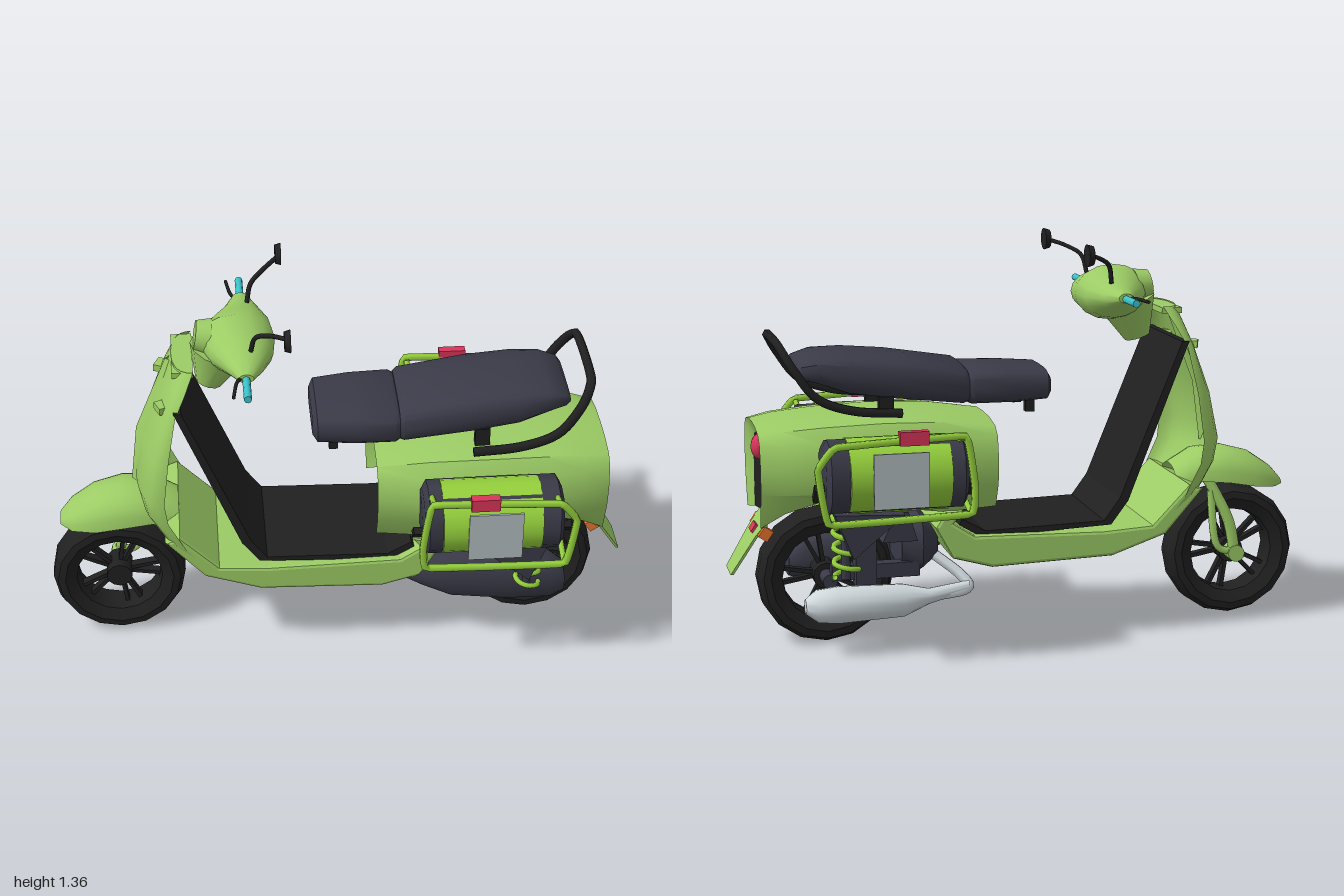
import * as THREE from 'three';
import { toCreasedNormals } from 'three/addons/utils/BufferGeometryUtils.js';

const mat = (name, color) => {
  const m = new THREE.MeshStandardMaterial({ color, side: THREE.DoubleSide });
  m.name = name;
  return m;
};
const V = (x, y, z) => new THREE.Vector3(x, y, z);

export function createModel() {
  const root = new THREE.Group();
  root.name = 'scooter';
  const green = mat('bodyGreen', 0x9ccc65), lime = mat('limeGreen', 0x94cf3c);
  const black = mat('black', 0x202020), dark = mat('slate', 0x3a3a48);
  const cyan = mat('gripCyan', 0x3cc4cc), red = mat('lampRed', 0xd8345a);
  const silver = mat('exhaustSilver', 0xcfd8dc), grey = mat('plateGrey', 0xb0bcbf);
  const orange = mat('signalOrange', 0xe8732c);

  const add = (name, geo, m, pos = [0, 0, 0], rot = [0, 0, 0], parent = root) => {
    const mesh = new THREE.Mesh(geo, m);
    mesh.name = name;
    mesh.position.set(...pos);
    mesh.rotation.set(...rot);
    parent.add(mesh);
    return mesh;
  };
  const box = (x, y, z) => new THREE.BoxGeometry(x, y, z);
  const cyl = (r1, r2, h, n = 12) => new THREE.CylinderGeometry(r1, r2, h, n);
  const tube = (pts, r, closed = false, tension = 0.5, n = 32) => new THREE.TubeGeometry(
    new THREE.CatmullRomCurve3(pts.map(p => V(...p)), closed, 'catmullrom', tension), n, r, 6, closed);

  // Skin a surface through rows of points; closed rows also get end caps
  function loft(rows, closed = false, crease = 0.7) {
    const n = rows[0].length, pos = [], idx = [];
    rows.forEach(r => r.forEach(p => pos.push(p.x, p.y, p.z)));
    for (let i = 0; i < rows.length - 1; i++)
      for (let j = 0; j < (closed ? n : n - 1); j++) {
        const a = i * n + j, b = i * n + (j + 1) % n;
        idx.push(a, b, a + n, b, b + n, a + n);
      }
    if (closed) for (let j = 1; j < n - 1; j++) {
      const e = (rows.length - 1) * n;
      idx.push(0, j + 1, j, e, e + j, e + j + 1);
    }
    const g = new THREE.BufferGeometry();
    g.setAttribute('position', new THREE.Float32BufferAttribute(pos, 3));
    g.setIndex(idx);
    return toCreasedNormals(g, crease);
  }
  // Sections along x: [x, centre y, half height, half depth, centre z]
  const pod = (sections, power = 1, n = 16) => loft(sections.map(([x, y, h, d, z = 0]) =>
    Array.from({ length: n }, (_, i) => {
      const a = i / n * Math.PI * 2, c = Math.cos(a), s = Math.sin(a);
      return V(x, y + h * Math.sign(s) * Math.abs(s) ** power, z + d * Math.sign(c) * Math.abs(c) ** power);
    })), true);
  const sideExtrude = (pts, width, bevel = 0) => {
    const shape = new THREE.Shape(pts.map(p => new THREE.Vector2(...p)));
    const g = new THREE.ExtrudeGeometry(shape, { depth: width - 2 * bevel, bevelEnabled: bevel > 0,
      bevelSize: bevel, bevelOffset: -bevel, bevelThickness: bevel, bevelSegments: 2 });
    return g.translate(0, 0, -width / 2 + bevel);
  };
  const bothSides = fn => [1, -1].forEach(fn);

  // Wheels
  for (const [name, x] of [['frontWheel', -0.77], ['rearWheel', 0.675]]) {
    const w = new THREE.Group();
    w.name = name;
    w.position.set(x, 0.232, 0);
    root.add(w);
    const prof = [[0.15, -0.05], [0.19, -0.07], [0.215, -0.066], [0.232, -0.03], [0.232, 0.03],
      [0.215, 0.066], [0.19, 0.07], [0.15, 0.05], [0.145, 0], [0.15, -0.05]].map(p => new THREE.Vector2(...p));
    add('tyre', toCreasedNormals(new THREE.LatheGeometry(prof, 16), 0.5), black, [0, 0, 0], [Math.PI / 2, 0, 0], w);
    add('hub', cyl(0.045, 0.045, 0.1), black, [0, 0, 0], [Math.PI / 2, 0, 0], w);
    for (let i = 0; i < 5; i++) for (const o of [-0.17, 0.17]) {
      const a = i / 5 * Math.PI * 2 + o;
      add('spoke', box(0.125, 0.014, 0.03), black, [Math.cos(a) * 0.095, Math.sin(a) * 0.095, 0], [0, 0, a], w);
    }
  }

  // Front fender and single-sided fork
  add('frontFender', loft([[-0.96, 0.035, 0.48, 0.46], [-0.92, 0.08, 0.525, 0.46], [-0.84, 0.11, 0.58, 0.47],
    [-0.74, 0.12, 0.607, 0.49], [-0.64, 0.115, 0.6, 0.5], [-0.55, 0.1, 0.55, 0.45]].map(([x, w, t, b]) =>
    Array.from({ length: 13 }, (_, i) => {
      const a = i / 12 * Math.PI;
      return V(x, b + (t - b) * Math.sin(a) ** 0.8, w * Math.cos(a));
    }))), green);
  add('forkLeg', tube([[-0.77, 0.232, -0.09], [-0.74, 0.36, -0.09], [-0.66, 0.52, -0.07]], 0.02), green);
  add('forkLink', tube([[-0.77, 0.235, -0.09], [-0.7, 0.27, -0.09], [-0.68, 0.46, -0.08]], 0.014), green);
  add('frontAxle', cyl(0.03, 0.03, 0.06), green, [-0.77, 0.232, -0.08], [Math.PI / 2, 0, 0]);

  // Leg shield: rows of [y, front x, edge x, half width]
  add('legShield', loft([[1.12, -0.55, -0.48, 0.13], [1.06, -0.57, -0.51, 0.175], [0.99, -0.595, -0.545, 0.205],
    [0.83, -0.655, -0.575, 0.235], [0.67, -0.69, -0.595, 0.245], [0.59, -0.675, -0.585, 0.242],
    [0.475, -0.61, -0.53, 0.235], [0.35, -0.47, -0.44, 0.22]].map(([y, f, e, w]) =>
    Array.from({ length: 15 }, (_, i) => {
      const u = i / 7 - 1;
      return V(f + (e - f) * Math.abs(u) ** 2.2, y, w * Math.sin(u * Math.PI / 2));
    }))), green);
  add('shieldRidge', loft([[1.1, -0.56, 0.03], [0.83, -0.67, 0.05], [0.62, -0.695, 0.04]].map(([y, x, w]) =>
    [V(x + 0.02, y, -w), V(x - 0.01, y, 0), V(x + 0.02, y, w)])), green);
  add('shieldCap', box(0.07, 0.02, 0.24), green, [-0.515, 1.105, 0]);
  bothSides(s => add('shieldClip', box(0.03, 0.025, 0.05), green, [-0.59, 0.99, s * 0.13], [0, s * 0.4, 0]));

  // Footboard and its black lining
  add('footboard', sideExtrude([[-0.6, 0.5], [-0.47, 0.35], [-0.28, 0.285], [0.14, 0.272], [0.275, 0.31],
    [0.335, 0.42], [0.3, 0.475], [0.24, 0.47], [0.27, 0.43], [0.2, 0.385], [-0.25, 0.375], [-0.42, 0.385],
    [-0.55, 0.52]], 0.46, 0.012), green);
  add('legLining', sideExtrude([[-0.55, 1.01], [-0.34, 0.47], [-0.28, 0.39], [0.17, 0.372], [0.25, 0.42],
    [0.24, 0.44], [0.16, 0.395], [-0.255, 0.405], [-0.31, 0.48], [-0.525, 1.01]], 0.41), black);

  // Handlebar housing, headlight, grips, levers and mirrors
  const half = [[0.09, 1.155, 0.072, 0.105, -0.32], [0.18, 1.16, 0.04, 0.06, -0.31], [0.255, 1.17, 0.016, 0.025, -0.31]];
  add('handlebarHousing', pod([...half.map(([a, ...r]) => [-a, ...r]).reverse(),
    [0, 1.16, 0.096, 0.13, -0.335], ...half]), green, [0, 0, 0], [0, Math.PI / 2, 0]);
  add('steeringNeck', cyl(0.1, 0.045, 0.13), green, [-0.41, 1.065, 0], [0, 0, -0.3]);
  add('headlight', cyl(0.05, 0.062, 0.05, 16), green, [-0.445, 1.18, 0], [0, 0, 1.4]);
  add('dashDial', cyl(0.045, 0.05, 0.01, 16), green, [-0.27, 1.215, 0], [0, 0, -0.5]);
  bothSides(s => {
    add('grip', cyl(0.013, 0.013, 0.115, 8), cyan, [-0.31, 1.167, s * 0.312], [Math.PI / 2, 0, 0]);
    add('lever', tube([[-0.31, 1.168, s * 0.23], [-0.34, 1.17, s * 0.27], [-0.355, 1.17, s * 0.36]], 0.006), black);
    add('mirrorStem', tube([[-0.29, 1.21, s * 0.15], [-0.275, 1.27, s * 0.17], [-0.23, 1.3, s * 0.21],
      [-0.18, 1.317, s * 0.26]], 0.008), black);
    add('mirror', cyl(0.038, 0.032, 0.02, 14), black, [-0.178, 1.318, s * 0.275], [0, 0, -Math.PI / 2]);
  });

  // Rear bodywork: arched sections [x, half width, top, bottom]
  const arch = ([x, w, t, b]) => {
    const h = [[0.8, b], [0.97, 0.56], [1, 0.64], [0.93, 0.72], [0.78, t - 0.015], [0.4, t]];
    return [...h.map(([k, y]) => V(x, y, w * k)), V(x, t + 0.003, 0), ...h.reverse().map(([k, y]) => V(x, y, -w * k))];
  };
  const shell = [[0.12, 0.237, 0.763, 0.475], [0.3, 0.265, 0.788, 0.47], [0.5, 0.277, 0.795, 0.5],
    [0.7, 0.264, 0.788, 0.53], [0.83, 0.245, 0.777, 0.49], [0.91, 0.215, 0.763, 0.44]].map(arch);
  add('rearBody', loft(shell), green);
  const inner = shell[5].map(p => V(0.885, Math.min(p.y, 0.74 - Math.abs(p.z) * 0.2), p.z * (0.94 - (p.y - 0.44) * 0.9)));
  add('rearRim', loft([shell[5], inner]), green);
  add('rearRecess', loft([inner, inner.map(p => V(0.865, 0.46 + (p.y - 0.46) * 0.4, 0))]), black);
  add('tailLamp', new THREE.SphereGeometry(0.043, 14, 10), red, [0.885, 0.68, 0]).scale.x = 0.7;

  // Mudflap with reflector and turn signals
  add('mudflap', loft([[0.85, 0.47, 0.11], [0.91, 0.39, 0.09], [0.99, 0.26, 0.065]].map(([x, y, w]) =>
    [V(x, y, w), V(x + 0.01, y, w), V(x + 0.01, y, -w), V(x, y, -w)]), true), green);
  add('reflector', box(0.012, 0.03, 0.06), red, [0.912, 0.405, 0], [0, 0, 0.6]);
  bothSides(s => add('turnSignal', box(0.035, 0.04, 0.025), orange, [0.885, 0.405, s * 0.105], [0, 0, 0.6]));

  // Saddle
  add('frontSeat', pod([[-0.09, 0.865, 0.035, 0.12], [-0.075, 0.868, 0.055, 0.15], [0.05, 0.87, 0.062, 0.165],
    [0.185, 0.872, 0.063, 0.168], [0.2, 0.872, 0.055, 0.16]], 0.55, 20), dark);
  add('rearSeat', pod([[0.2, 0.875, 0.06, 0.16], [0.215, 0.88, 0.07, 0.168], [0.45, 0.912, 0.075, 0.172],
    [0.6, 0.93, 0.07, 0.168], [0.7, 0.947, 0.05, 0.155], [0.76, 0.945, 0.033, 0.135], [0.775, 0.94, 0.015, 0.12]],
    0.6, 20), dark);
  bothSides(s => {
    add('seatMount', box(0.03, 0.07, 0.03), black, [-0.02, 0.81, s * 0.09]);
    add('seatMount', box(0.05, 0.08, 0.03), black, [0.48, 0.815, s * 0.13]);
  });
  const rail = [[0.44, 0.81, 0.21], [0.6, 0.825, 0.212], [0.72, 0.87, 0.212], [0.79, 0.96, 0.205],
    [0.825, 1.02, 0.17], [0.835, 1.04, 0.11]];
  add('grabRail', tube([...rail, ...rail.map(([x, y, z]) => [x, y, -z]).reverse()], 0.016, false, 0.5, 60), black);

  // Side bags with guard frames, plates, lamps and springs
  bothSides(s => {
    const g = new THREE.Group();
    g.name = s > 0 ? 'leftBag' : 'rightBag';
    root.add(g);
    add('bagEnds', pod([[0.26, 0.635, 0.095, 0.09, s * 0.32], [0.275, 0.635, 0.122, 0.112, s * 0.32],
      [0.71, 0.635, 0.122, 0.112, s * 0.32], [0.725, 0.635, 0.095, 0.09, s * 0.32]], 0.85, 12), dark, [0, 0, 0], [0, 0, 0], g);
    add('bagBody', cyl(0.124, 0.124, 0.33, 20), lime, [0.485, 0.635, s * 0.32], [0, 0, Math.PI / 2], g);
    for (const x of [0.245, 0.74])
      add('bagStrap', box(0.035, 0.025, 0.07), black, [x, 0.585, s * 0.34], [s * -0.8, 0, 0], g);
    add('plate', box(0.18, 0.18, 0.008), grey, [0.49, 0.637, s * 0.45], [0, 0, 0], g);
    add('guardFrame', tube([[0.28, 0.772, s * 0.445], [0.7, 0.755, s * 0.445], [0.758, 0.685, s * 0.445],
      [0.725, 0.505, s * 0.445], [0.262, 0.515, s * 0.445], [0.25, 0.6, s * 0.445]], 0.013, true, 0.08, 72), lime, [0, 0, 0], [0, 0, 0], g);
    for (const [x, y] of [[0.262, 0.515], [0.725, 0.51], [0.7, 0.752], [0.285, 0.77]])
      add('guardStay', tube([[x, y, s * 0.445], [x, 0.635 + (y - 0.635) * 0.8, s * 0.36]], 0.01, false, 0.5, 4), lime, [0, 0, 0], [0, 0, 0], g);
    add('sideLamp', box(0.095, 0.045, 0.032), red, [0.45, 0.775, s * 0.45], [0, 0, 0], g);
    add('bagBracket', sideExtrude([[0.46, 0.5], [0.63, 0.36], [0.69, 0.51]], 0.09), dark, [0, 0, s * 0.3], [0, 0, 0], g);
    const coil = Array.from({ length: 49 }, (_, i) => {
      const a = i / 48 * Math.PI * 9;
      return [0.64 + 0.04 * Math.cos(a), 0.28 + 0.22 * i / 48, s * (0.255 - 0.03 * i / 48) + 0.04 * Math.sin(a)];
    });
    add('spring', tube(coil, 0.01, false, 0.5, 120), lime, [0, 0, 0], [0, 0, 0], g);
    add('damper', cyl(0.016, 0.016, 0.24, 8), dark, [0.64, 0.39, s * 0.24], [0, 0, 0], g);
  });

  // Engine, drive case and exhaust
  add('engine', pod([[0.3, 0.34, 0.06, 0.1], [0.36, 0.34, 0.1, 0.15], [0.43, 0.34, 0.08, 0.13]], 0.6), dark);
  add('engineStrut', sideExtrude([[0.38, 0.36], [0.41, 0.46], [0.45, 0.46], [0.5, 0.36]], 0.3), dark);
  add('driveCase', pod([[0.21, 0.305, 0.02, 0.05, 0.16], [0.28, 0.3, 0.05, 0.07, 0.165], [0.38, 0.285, 0.085, 0.078, 0.17],
    [0.58, 0.265, 0.092, 0.08, 0.17], [0.73, 0.25, 0.075, 0.078, 0.17], [0.78, 0.235, 0.045, 0.06, 0.165]], 0.7), dark);
  add('swingArm', box(0.3, 0.05, 0.05), dark, [0.52, 0.26, -0.11]);
  add('rearStrut', box(0.07, 0.22, 0.07), dark, [0.56, 0.33, -0.14]);
  add('rearAxle', cyl(0.025, 0.025, 0.26), dark, [0.675, 0.232, 0], [Math.PI / 2, 0, 0]);
  add('exhaustPipe', tube([[0.32, 0.3, -0.08], [0.23, 0.23, -0.14], [0.22, 0.19, -0.17], [0.36, 0.175, -0.185]], 0.02), silver);
  add('muffler', pod([[0.21, 0.2, 0.018, 0.018, -0.17], [0.35, 0.175, 0.026, 0.03, -0.18], [0.44, 0.17, 0.055, 0.06, -0.19],
    [0.66, 0.17, 0.062, 0.068, -0.195], [0.73, 0.17, 0.055, 0.06, -0.195], [0.77, 0.17, 0.025, 0.028, -0.195]]), silver);
  return root;
}
